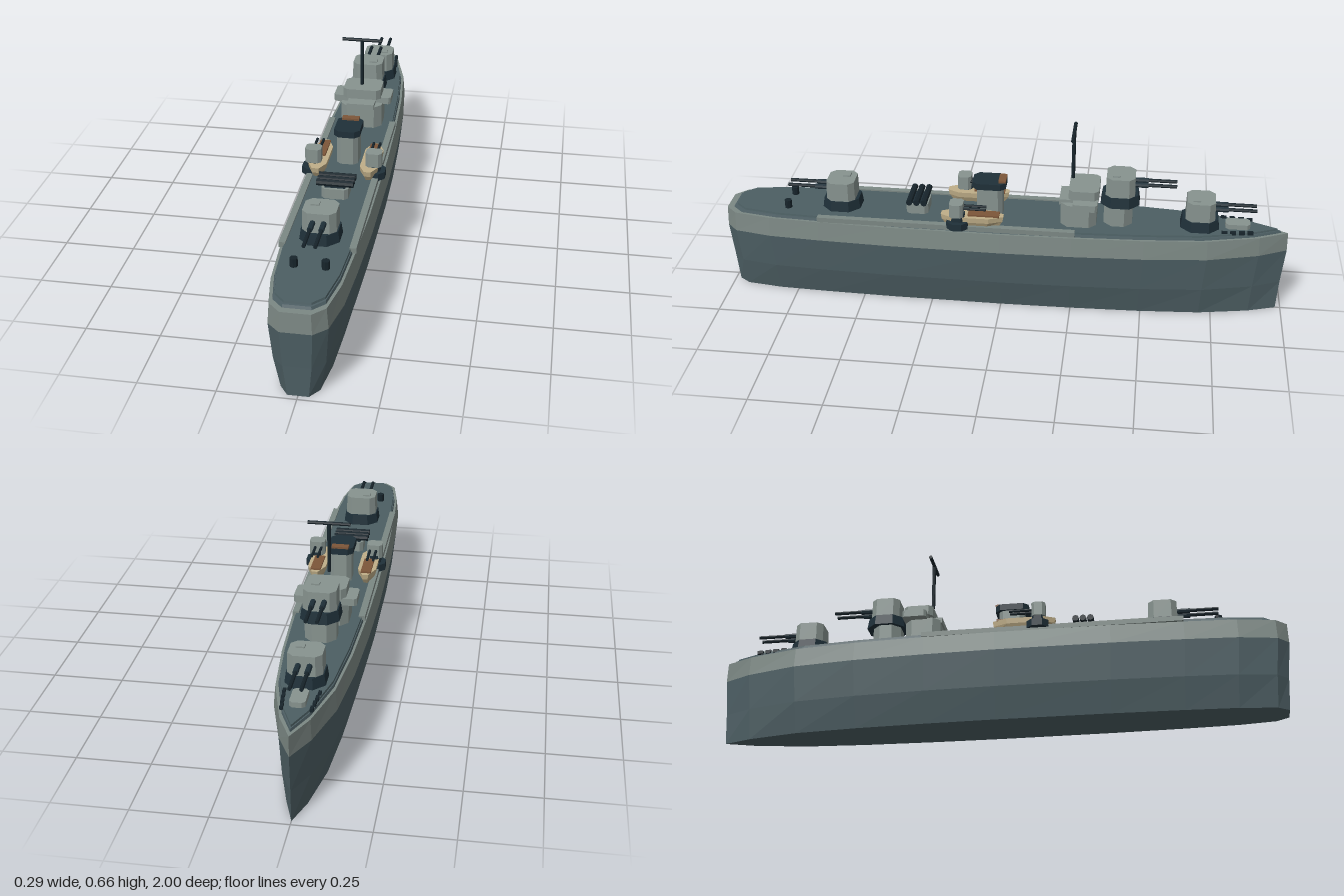
import * as THREE from 'three';

const mat = (name, color) => Object.assign(new THREE.MeshStandardMaterial({ color, flatShading: true }), { name });

// Mirror a half outline (bow to stern, +x side) into a closed ring.
const mirrorRing = (half) => [
  ...half,
  ...half.slice().reverse().filter(([x]) => x > 0).map(([x, z]) => [-x, z]),
];

// Skin between rings: each level is { y, sx, sz } scaling the same outline.
function loft(ring, levels, bottom = true, top = true) {
  const pos = [];
  const at = (l, i) => {
    const [x, z] = ring[i % ring.length];
    return [x * l.sx, l.y, z * l.sz];
  };
  for (let i = 0; i < ring.length; i++) {
    for (let k = 0; k + 1 < levels.length; k++) {
      const a = at(levels[k], i), b = at(levels[k], i + 1);
      const c = at(levels[k + 1], i), d = at(levels[k + 1], i + 1);
      pos.push(...a, ...c, ...b, ...b, ...c, ...d);
    }
    const lo = levels[0], hi = levels[levels.length - 1];
    if (bottom) pos.push(0, lo.y, 0, ...at(lo, i), ...at(lo, i + 1));
    if (top) pos.push(0, hi.y, 0, ...at(hi, i + 1), ...at(hi, i));
  }
  const g = new THREE.BufferGeometry();
  g.setAttribute('position', new THREE.Float32BufferAttribute(pos, 3));
  g.computeVertexNormals();
  return g;
}

const level = (y, sx = 1, sz = sx) => ({ y, sx, sz });

// Upright block with cut corners, standing on y = 0.
function block(w, d, h, cut, taper = 1) {
  const x = w / 2, z = d / 2;
  const ring = mirrorRing([[x - cut, -z], [x, -z + cut], [x, z - cut], [x - cut, z]]);
  return loft(ring, [level(0), level(h, taper)]);
}

export function createModel() {
  const ship = new THREE.Group();
  ship.name = 'warship';
  const light = mat('lightGrey', 0x87938f);
  const band = mat('hullGrey', 0x7c8884);
  const lower = mat('lowerHullGrey', 0x4e6065);
  const deckMat = mat('deckGrey', 0x4c5f63);
  const dark = mat('darkBlue', 0x1f3039);
  const black = mat('gunBlack', 0x17242b);
  const beige = mat('boatBeige', 0xbfae88);
  const brown = mat('woodBrown', 0x7d5639);

  const add = (parent, name, geo, material, x = 0, y = 0, z = 0) => {
    const m = new THREE.Mesh(geo, material);
    m.name = name;
    m.position.set(x, y, z);
    parent.add(m);
    return m;
  };
  const box = (w, h, d) => new THREE.BoxGeometry(w, h, d);
  const rod = (r, len, axis, sides = 8) => {
    const g = new THREE.CylinderGeometry(r, r, len, sides);
    if (axis === 'z') g.rotateX(Math.PI / 2);
    if (axis === 'x') g.rotateZ(Math.PI / 2);
    return g;
  };

  // Hull and deck share one plan outline
  const plan = mirrorRing([
    [0, -1], [0.05, -0.9], [0.1, -0.72], [0.123, -0.5], [0.135, -0.25], [0.14, 0],
    [0.137, 0.4], [0.128, 0.65], [0.117, 0.83], [0.092, 0.96], [0.05, 1],
  ]);
  add(ship, 'lowerHull', loft(plan, [level(0, 0.67, 0.982), level(0.11, 0.89, 0.988), level(0.24)], true, false), lower);
  add(ship, 'upperHull', loft(plan, [level(0.24), level(0.31, 0.94, 0.998)], false, true), band);
  add(ship, 'deckEdge', loft(plan, [level(0.309, 0.88, 0.975), level(0.319, 0.86, 0.97)]), lower);
  add(ship, 'deck', loft(plan, [level(0.318, 0.84, 0.962), level(0.326, 0.83, 0.96)]), deckMat);
  for (const s of [1, -1]) add(ship, 'sideWalkway', box(0.022, 0.018, 0.91), band, s * 0.113, 0.322, 0.195);

  // Twin gun turret; dir is +1 towards the stern, -1 towards the bow
  function turret(name, z, y, dir) {
    const g = new THREE.Group();
    g.name = name;
    g.position.set(0, y, z);
    g.rotation.y = dir > 0 ? 0 : Math.PI;
    add(g, 'turretRing', block(0.13, 0.135, 0.038, 0.035, 0.92), dark);
    add(g, 'gunHouse', block(0.112, 0.102, 0.07, 0.02, 0.97), light, 0, 0.036, 0);
    add(g, 'roofHatch', box(0.028, 0.006, 0.026), light, -0.02, 0.108, -0.015);
    for (const s of [1, -1]) {
      add(g, 'gunSleeve', rod(0.0095, 0.05, 'z'), dark, s * 0.018, 0.074, 0.07);
      add(g, 'gunBarrel', rod(0.0065, 0.15, 'z'), black, s * 0.018, 0.075, 0.118);
    }
    ship.add(g);
  }
  turret('aftTurret', 0.58, 0.325, 1);
  turret('foreTurret', -0.69, 0.325, -1);
  turret('raisedTurret', -0.41, 0.403, -1);
  add(ship, 'raisedTurretBase', block(0.105, 0.1, 0.082, 0.028), light, 0, 0.323, -0.405);

  // Bridge
  add(ship, 'bridgeBase', block(0.15, 0.125, 0.085, 0.025), light, 0, 0.324, -0.268);
  add(ship, 'bridgeWings', block(0.21, 0.085, 0.025, 0.008), light, 0, 0.405, -0.292);
  add(ship, 'bridgeLedge', box(0.1, 0.02, 0.06), light, 0, 0.41, -0.23);
  add(ship, 'bridgeTop', block(0.138, 0.105, 0.036, 0.015), light, 0, 0.427, -0.285);

  // Mast
  add(ship, 'mast', rod(0.0065, 0.175, 'y'), black, 0, 0.57, -0.243);
  add(ship, 'mastYard', rod(0.0065, 0.142, 'x'), black, 0, 0.657, -0.243);

  // Funnel
  add(ship, 'funnel', block(0.075, 0.09, 0.115, 0.015), light, 0, 0.324, 0.047);
  add(ship, 'funnelCap', block(0.09, 0.118, 0.023, 0.018), dark, 0, 0.436, 0.049);
  add(ship, 'funnelVent', box(0.06, 0.008, 0.026), brown, 0, 0.462, 0.003);

  // Boats and light guns on both sides
  const boatPlan = mirrorRing([[0.01, -0.11], [0.032, -0.06], [0.032, 0.07], [0.012, 0.11]]);
  for (const s of [1, -1]) {
    const side = new THREE.Group();
    side.name = s > 0 ? 'leftSideFittings' : 'rightSideFittings';
    ship.add(side);
    add(side, 'boat', loft(boatPlan, [level(0.325, 0.65, 0.85), level(0.345, 0.95, 0.97), level(0.364)]), beige, s * 0.09, 0, 0.1);
    add(side, 'boatSeats', box(0.036, 0.008, 0.11), brown, s * 0.09, 0.366, 0.06);
    add(side, 'mountBase', block(0.072, 0.075, 0.026, 0.02), dark, s * 0.108, 0.321, 0.15);
    add(side, 'mountNeck', block(0.045, 0.05, 0.03, 0.012), dark, s * 0.105, 0.345, 0.15);
    add(side, 'mountHouse', block(0.055, 0.048, 0.05, 0.01), light, s * 0.105, 0.366, 0.153);
    for (const t of [1, -1]) add(side, 'lightGun', rod(0.005, 0.09, 'z'), black, s * 0.1 + t * 0.011, 0.395, 0.095);
  }

  // Torpedo tubes lying across the deck
  add(ship, 'torpedoBase', block(0.09, 0.078, 0.038, 0.012), light, 0, 0.324, 0.305);
  add(ship, 'torpedoSaddle', box(0.07, 0.014, 0.06), dark, 0, 0.366, 0.303);
  for (const z of [0.277, 0.303, 0.329]) add(ship, 'torpedoTube', rod(0.0115, 0.125, 'x'), black, 0, 0.378, z);

  // Bow locker, anchor chains and stern bollards
  add(ship, 'bowLocker', block(0.05, 0.085, 0.02, 0.01), light, 0, 0.324, -0.822);
  for (const s of [1, -1]) {
    for (let i = 0; i < 4; i++) add(ship, 'chainLink', box(0.01, 0.012, 0.02), black, s * (0.046 + i * 0.003), 0.327, -0.865 + i * 0.03);
    add(ship, 'sternBollard', rod(0.013, 0.03, 'y'), black, s * 0.05, 0.34, 0.77);
  }
  return ship;
}
